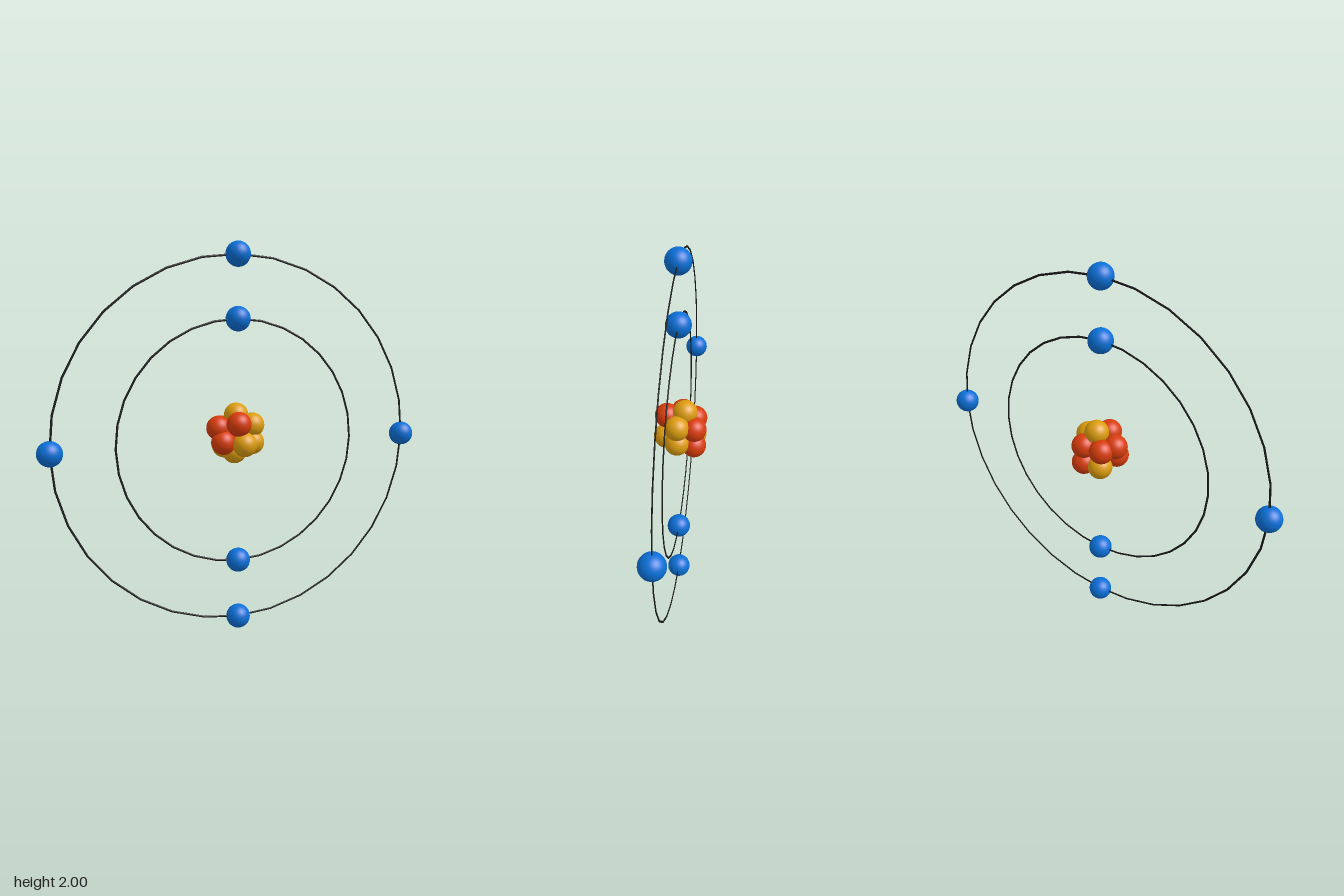
import * as THREE from 'three';

const BALL = 0.0625; // radius shared by electrons and nucleons

export function createModel() {
  const model = new THREE.Group();
  model.name = 'atom';

  const blue = new THREE.MeshStandardMaterial({ color: 0x0a6fd6 });
  const red = new THREE.MeshStandardMaterial({ color: 0xd83c0c });
  const yellow = new THREE.MeshStandardMaterial({ color: 0xdc9c0e });
  const black = new THREE.MeshStandardMaterial({ color: 0x1c1c1c });
  const ballGeometry = new THREE.SphereGeometry(BALL, 32, 20);

  function addBall(parent, name, material, x, y, z) {
    const ball = new THREE.Mesh(ballGeometry, material);
    ball.name = name;
    ball.position.set(x, y, z);
    parent.add(ball);
  }

  // Shells: a thin 32-sided ring with evenly spaced electrons
  function addShell(name, radius, electrons) {
    const shell = new THREE.Group();
    shell.name = name;
    const ring = new THREE.Mesh(new THREE.TorusGeometry(radius, 0.0055, 8, 32), black);
    ring.name = 'orbitRing';
    ring.scale.z = 0.6;
    shell.add(ring);
    for (let i = 0; i < electrons; i++) {
      const a = Math.PI / 2 + (i / electrons) * Math.PI * 2;
      addBall(shell, 'electron', blue, radius * Math.cos(a), radius * Math.sin(a), 0);
    }
    model.add(shell);
  }
  addShell('innerShell', 0.625, 2);
  addShell('outerShell', 0.9375, 4);

  // Nucleus: a packed cluster of six protons and six neutrons
  const nucleus = new THREE.Group();
  nucleus.name = 'nucleus';
  const protons = [
    [-0.1, 0.08, -0.013], [-0.015, 0.105, 0.06], [-0.085, 0.01, 0.022],
    [0.044, -0.027, -0.083], [0.044, 0.07, -0.083], [-0.06, 0.07, -0.078],
  ];
  const neutrons = [
    [0, 0.14, -0.033], [0.075, 0.09, 0], [0.075, 0, 0],
    [0.015, 0, 0.062], [-0.015, -0.045, -0.015], [-0.052, -0.024, -0.076],
  ];
  protons.forEach((p) => addBall(nucleus, 'proton', red, ...p));
  neutrons.forEach((p) => addBall(nucleus, 'neutron', yellow, ...p));
  model.add(nucleus);

  // Lift the shells' centre to mid height
  model.children.forEach((part) => part.position.set(0, 1, 0.012));
  return model;
}
